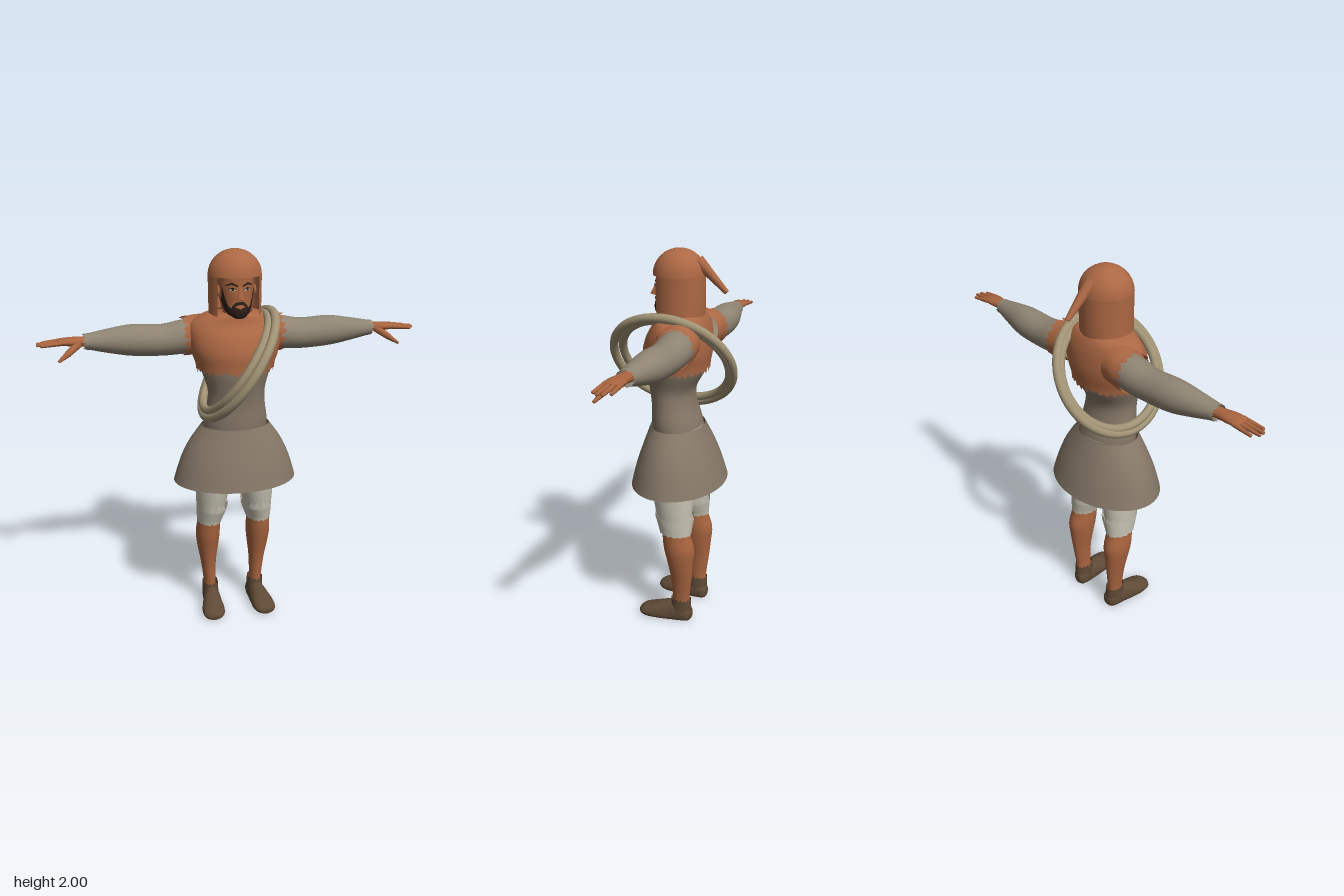
import * as THREE from 'three';

const mat = (name, color, side = THREE.FrontSide) => {
  const m = new THREE.MeshStandardMaterial({ color, side });
  m.name = name;
  return m;
};

// Smooth interpolation through rows of numbers
function smoothRow(rows, t) {
  const f = t * (rows.length - 1), i = Math.min(Math.floor(f), rows.length - 2), u = f - i;
  const r = k => rows[Math.max(0, Math.min(rows.length - 1, k))];
  return rows[i].map((b, k) => {
    const a = r(i - 1)[k], c = r(i + 1)[k], d = r(i + 2)[k];
    return b + 0.5 * u * (c - a + u * (2 * a - 5 * b + 4 * c - d + u * (3 * (b - c) + d - a)));
  });
}

// Skin of elliptical sections [along, centreX, centreZ, radiusX, radiusZ], with optional ragged ends
const TEETH = [0, 1, 0.25, 0.75, 0.1, 0.9, 0.4, 1];
function loft(rows, { n = 32, sub = 4, a0 = 0, jagStart = 0, jagEnd = 0, capStart = false, capEnd = false } = {}) {
  const pos = [], idx = [], m = (rows.length - 1) * sub, open = a0 > 0, w = open ? n + 1 : n;
  for (let j = 0; j <= m; j++) {
    const [y, cx, cz, rx, rz] = smoothRow(rows, j / m);
    for (let i = 0; i < w; i++) {
      const a = a0 + (i / n) * (Math.PI * 2 - 2 * a0), tooth = TEETH[i % 8];
      const dy = j === 0 ? -jagStart * tooth : j === m ? jagEnd * tooth : 0;
      pos.push(cx + rx * Math.sin(a), y + dy, cz + rz * Math.cos(a));
    }
  }
  for (let j = 0; j < m; j++) for (let i = 0; i < n; i++) {
    const k = (i + 1) % w, a = j * w + i, b = j * w + k;
    idx.push(a, b, b + w, a, b + w, a + w);
  }
  const cap = (row, j, flip) => {
    const c = pos.length / 3;
    pos.push(row[1], row[0], row[2]);
    for (let i = 0; i < n; i++) {
      const a = j * w + i, b = j * w + (i + 1) % w;
      idx.push(c, flip ? b : a, flip ? a : b);
    }
  };
  if (capStart) cap(rows[0], 0, true);
  if (capEnd) cap(rows[rows.length - 1], m, false);
  const g = new THREE.BufferGeometry();
  g.setAttribute('position', new THREE.Float32BufferAttribute(pos, 3));
  g.setIndex(idx);
  g.computeVertexNormals();
  return g;
}

// Tapered round bar between two points
function bar(p, q, r0, r1) {
  const a = new THREE.Vector3(...p), d = new THREE.Vector3(...q).sub(a);
  return new THREE.CylinderGeometry(r1, r0, d.length(), 10).applyQuaternion(
    new THREE.Quaternion().setFromUnitVectors(new THREE.Vector3(0, 1, 0), d.clone().normalize()))
    .translate(...a.addScaledVector(d, 0.5).toArray());
}

function mirrored(geo) {
  const g = geo.clone().scale(-1, 1, 1), ix = g.index;
  for (let i = 0; i < ix.count; i += 3) {
    const t = ix.getX(i);
    ix.setX(i, ix.getX(i + 1));
    ix.setX(i + 1, t);
  }
  g.computeVertexNormals();
  return g;
}

export function createModel() {
  const model = new THREE.Group();
  model.name = 'hoodedMan';
  const skin = mat('skin', 0xa8643f), hoodCloth = mat('hoodCloth', 0xac6844, THREE.DoubleSide);
  const tunic = mat('tunic', 0x857767, THREE.DoubleSide), sleeveCloth = mat('sleeveCloth', 0x8f8473, THREE.DoubleSide);
  const linen = mat('linen', 0xc6c2b2, THREE.DoubleSide), leather = mat('leather', 0x5f4a36, THREE.DoubleSide);
  const rope = mat('rope', 0xa09274), hair = mat('hair', 0x2c1f18, THREE.DoubleSide);
  const eyeWhite = mat('eyeWhite', 0xcfc4b4, THREE.DoubleSide);
  const add = (name, geo, m) => {
    const mesh = new THREE.Mesh(geo, m);
    mesh.name = name;
    model.add(mesh);
  };
  const pair = (name, geo, m) => {
    add(name + 'Left', geo, m);
    add(name + 'Right', mirrored(geo), m);
  };

  // Torso, skirt and shoulder cape
  add('torso', loft([[1.06, 0, -0.03, 0.168, 0.13], [1.13, 0, -0.02, 0.167, 0.125], [1.22, 0, -0.005, 0.152, 0.112],
    [1.3, 0, 0.002, 0.15, 0.117], [1.4, 0, -0.015, 0.18, 0.15], [1.5, 0, -0.02, 0.2, 0.15]]), tunic);
  add('skirt', loft([[0.79, 0, -0.038, 0.33, 0.243], [0.9, 0, -0.034, 0.296, 0.212],
    [1.0, 0, -0.03, 0.25, 0.175], [1.1, 0, -0.025, 0.18, 0.137]], { n: 48 }), tunic);
  add('cape', loft([[1.42, 0, -0.02, 0.2, 0.163], [1.5, 0, -0.025, 0.228, 0.17], [1.58, 0, -0.035, 0.238, 0.155],
    [1.64, 0, -0.045, 0.225, 0.13], [1.68, 0, -0.04, 0.16, 0.115], [1.69, 0, -0.03, 0.09, 0.1]],
  { n: 64, jagStart: 0.03, jagEnd: 0.01 }), hoodCloth);

  // Hood: open-fronted drape, dome and hanging tail
  add('hoodDrape', loft([[1.61, 0, -0.03, 0.135, 0.125], [1.7, 0, -0.03, 0.133, 0.13],
    [1.875, 0, -0.03, 0.135, 0.13]], { a0: 0.9, n: 40 }), hoodCloth);
  const dome = [];
  for (let i = 0; i <= 8; i++) {
    const a = (i / 8) * Math.PI / 2;
    dome.push([1.873 + 0.127 * Math.sin(a), 0, -0.03, 0.135 * Math.cos(a) + 0.0005, 0.13 * Math.cos(a) + 0.0005]);
  }
  add('hoodDome', loft(dome, { n: 40, sub: 1 }), hoodCloth);
  add('hoodTail', bar([0, 1.945, -0.125], [0, 1.8, -0.275], 0.032, 0.013), hoodCloth);

  // Head and neck
  const headRows = [[1.672, 0, 0.035, 0.035, 0.05], [1.7, 0, 0.01, 0.065, 0.085], [1.75, 0, -0.01, 0.08, 0.102],
    [1.8, 0, -0.015, 0.087, 0.107], [1.85, 0, -0.02, 0.09, 0.11], [1.9, 0, -0.02, 0.09, 0.108]];
  add('head', loft(headRows, { capStart: true }), skin);
  add('neck', loft([[1.6, 0, -0.03, 0.07, 0.075], [1.72, 0, -0.02, 0.06, 0.065]]), skin);
  const nose = new THREE.ConeGeometry(0.021, 0.07, 4, 1).rotateY(Math.PI / 4).rotateX(-0.22);
  add('nose', nose.translate(0, 1.8, 0.098), skin);
  pair('ear', new THREE.SphereGeometry(0.022, 12, 8).scale(0.5, 1.3, 0.9).translate(0.092, 1.8, 0.0), skin);

  // Face paint: strips [x, bottom, top] laid on the head's surface
  const faceZ = (x, y) => {
    let lo = 0, hi = 1;
    for (let k = 0; k < 20; k++) {
      const mid = (lo + hi) / 2;
      if (smoothRow(headRows, mid)[0] < y) lo = mid; else hi = mid;
    }
    const [, , cz, rx, rz] = smoothRow(headRows, lo);
    return cz + rz * Math.sqrt(Math.max(0, 1 - (x / rx) ** 2));
  };
  const facePatch = (cols, lift = 0.004) => {
    const pos = [], idx = [], m = (cols.length - 1) * 4, h = 5;
    for (let i = 0; i <= m; i++) for (let j = 0; j <= h; j++) {
      const f = i / 4, k = Math.min(Math.floor(f), cols.length - 2), u = f - k;
      const [x, y0, y1] = cols[k].map((v, c) => v + (cols[k + 1][c] - v) * u);
      const y = y0 + (y1 - y0) * (j / h);
      pos.push(x, y, faceZ(x, y) + lift);
      if (i < m && j < h) {
        const a = i * (h + 1) + j, b = a + h + 1;
        idx.push(a, b, b + 1, a, b + 1, a + 1);
      }
    }
    const g = new THREE.BufferGeometry();
    g.setAttribute('position', new THREE.Float32BufferAttribute(pos, 3));
    g.setIndex(idx);
    g.computeVertexNormals();
    return g;
  };
  pair('beard', facePatch([[0, 1.674, 1.722], [0.02, 1.675, 1.73], [0.04, 1.681, 1.725], [0.055, 1.694, 1.735],
    [0.068, 1.712, 1.77], [0.08, 1.756, 1.825]]), hair);
  pair('moustache', facePatch([[0, 1.745, 1.758], [0.02, 1.738, 1.756], [0.038, 1.718, 1.738], [0.042, 1.71, 1.72]]), hair);
  pair('eyebrow', facePatch([[0.012, 1.829, 1.838], [0.04, 1.84, 1.851], [0.066, 1.832, 1.837]]), hair);
  pair('eye', facePatch([[0.02, 1.814, 1.816], [0.035, 1.809, 1.824], [0.054, 1.815, 1.818]], 0.003), eyeWhite);
  pair('pupil', facePatch([[0.03, 1.811, 1.823], [0.043, 1.811, 1.823]], 0.005), hair);
  pair('eyelid', facePatch([[0.018, 1.816, 1.819], [0.036, 1.823, 1.828], [0.057, 1.816, 1.82]], 0.005), hair);

  // Arms run along x: rows are [x, -y, z, radiusY, radiusZ]
  const alongX = (rows, opts) => loft(rows, opts).rotateZ(-Math.PI / 2);
  pair('capeShoulder', alongX([[0.13, -1.57, -0.09, 0.1, 0.1], [0.19, -1.568, -0.095, 0.1, 0.105],
    [0.235, -1.56, -0.1, 0.1, 0.1]], { n: 32, jagEnd: 0.035 }), hoodCloth);
  pair('sleeve', alongX([[0.16, -1.56, -0.098, 0.085, 0.088], [0.26, -1.556, -0.1, 0.087, 0.09],
    [0.37, -1.545, -0.1, 0.08, 0.083], [0.52, -1.552, -0.1, 0.079, 0.08], [0.64, -1.556, -0.092, 0.06, 0.062],
    [0.745, -1.56, -0.083, 0.038, 0.044]], { jagEnd: 0.018 }), sleeveCloth);

  // Hands
  pair('palm', alongX([[0.72, -1.56, -0.083, 0.026, 0.031], [0.77, -1.563, -0.08, 0.024, 0.033],
    [0.82, -1.565, -0.077, 0.022, 0.043], [0.87, -1.566, -0.077, 0.016, 0.044], [0.885, -1.565, -0.077, 0.009, 0.038]],
  { capEnd: true, n: 20 }), skin);
  const fingers = [[-0.112, -0.118, 0.96], [-0.089, -0.09, 0.985], [-0.066, -0.064, 0.985], [-0.044, -0.038, 0.965]];
  fingers.forEach(([z0, z1, x], i) => {
    pair('finger' + (i + 1), bar([0.86, 1.566, z0], [x - 0.006, 1.557, z1], 0.0125, 0.008), skin);
    pair('fingertip' + (i + 1), new THREE.SphereGeometry(0.0085, 10, 8).translate(x - 0.006, 1.557, z1), skin);
  });
  pair('thumbBase', bar([0.78, 1.556, -0.06], [0.84, 1.515, -0.02], 0.02, 0.016), skin);
  pair('thumb', bar([0.835, 1.518, -0.022], [0.885, 1.485, 0.002], 0.016, 0.007), skin);

  // Breeches with ragged cuffs
  add('breechesSeat', loft([[0.82, 0, -0.04, 0.09, 0.08], [0.9, 0, -0.04, 0.16, 0.115], [1.1, 0, -0.025, 0.165, 0.128]],
    { capStart: true }), linen);
  pair('breechesLeg', loft([[0.55, 0.135, -0.062, 0.066, 0.082], [0.66, 0.127, -0.052, 0.083, 0.1],
    [0.79, 0.116, -0.042, 0.095, 0.112], [0.93, 0.098, -0.04, 0.092, 0.112]]), linen);
  pair('cuff', loft([[0.535, 0.138, -0.066, 0.067, 0.087], [0.58, 0.13, -0.06, 0.077, 0.097],
    [0.62, 0.123, -0.055, 0.084, 0.107]], { jagStart: 0.01, jagEnd: 0.035 }), linen);

  // Calves
  pair('calf', loft([[0.06, 0.132, -0.1, 0.036, 0.048], [0.14, 0.134, -0.098, 0.034, 0.047],
    [0.26, 0.14, -0.1, 0.043, 0.058], [0.36, 0.143, -0.095, 0.058, 0.072], [0.44, 0.143, -0.088, 0.066, 0.084],
    [0.52, 0.14, -0.072, 0.063, 0.077], [0.6, 0.135, -0.062, 0.062, 0.075]]), skin);

  // Shoes run along z: rows are [z, x, -y, radiusX, radiusY], flattened at the ground
  const shoe = loft([[-0.155, 0.125, -0.035, 0.022, 0.025], [-0.13, 0.127, -0.035, 0.043, 0.06],
    [-0.06, 0.131, -0.035, 0.047, 0.075], [0, 0.138, -0.032, 0.055, 0.063], [0.06, 0.143, -0.028, 0.062, 0.045],
    [0.11, 0.146, -0.025, 0.054, 0.03], [0.135, 0.147, -0.022, 0.028, 0.015]],
  { capStart: true, capEnd: true, n: 28 }).rotateX(Math.PI / 2);
  const sp = shoe.attributes.position;
  for (let i = 0; i < sp.count; i++) sp.setY(i, Math.max(0.003, sp.getY(i)));
  shoe.computeVertexNormals();
  pair('shoe', shoe, leather);
  pair('shoeCollar', loft([[0.05, 0.13, -0.095, 0.045, 0.058], [0.09, 0.13, -0.096, 0.044, 0.057],
    [0.12, 0.131, -0.097, 0.043, 0.055]], { jagEnd: 0.014 }), leather);

  // Coil of rope slung across the body
  [[0.317, 0.023, 0.006, 0.003, 0.015], [0.288, 0.022, -0.006, -0.008, -0.03]].forEach(([R, r, dx, dz, tilt], i) => {
    add('ropeLoop' + (i + 1), new THREE.TorusGeometry(R, r, 14, 72).rotateY(Math.PI / 2 + tilt)
      .translate(dx, 0, dz).rotateZ(-0.594).translate(0, 1.43, 0), rope);
  });
  return model;
}
